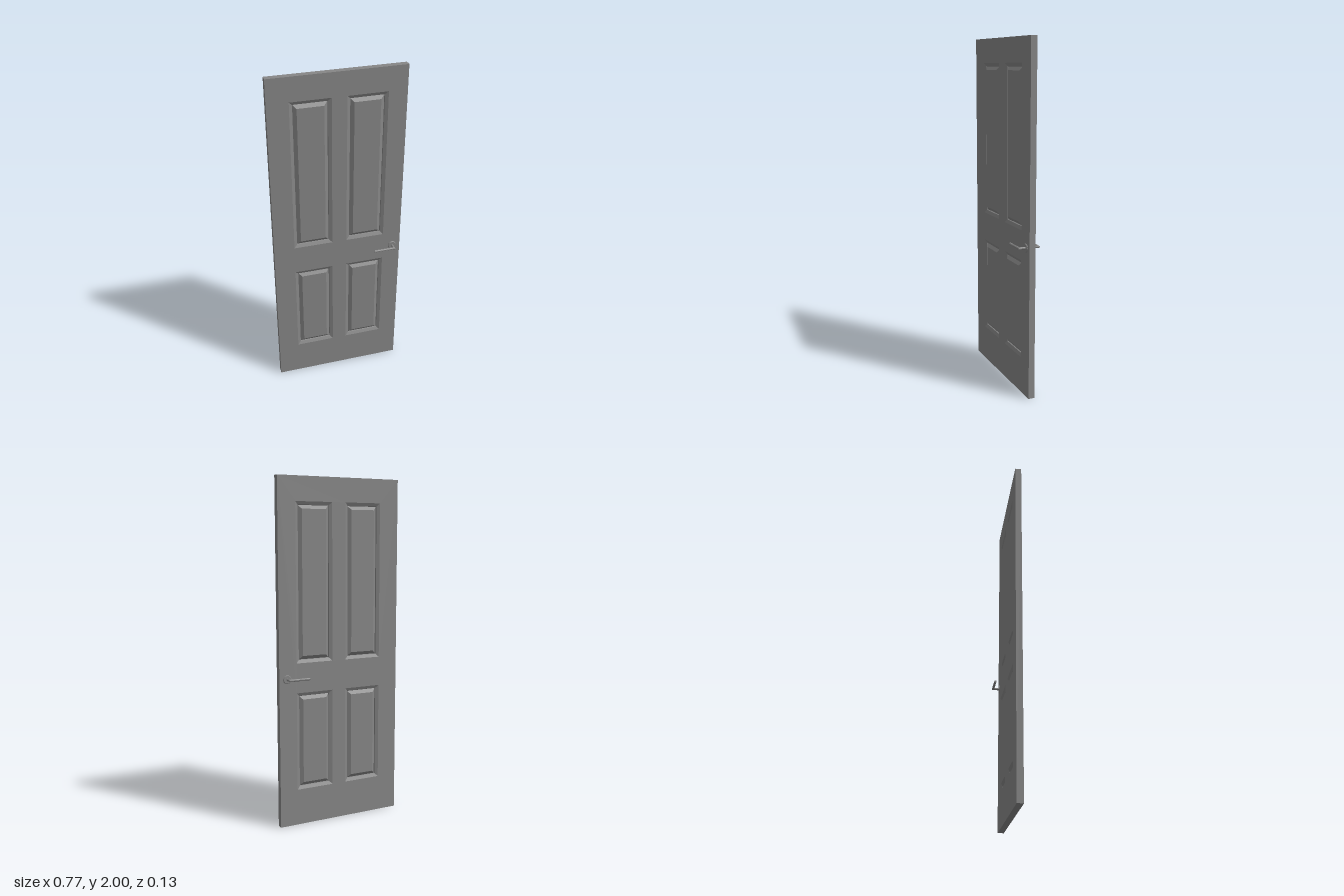
import * as THREE from 'three';

const material = new THREE.MeshStandardMaterial({ color: 0x868686, flatShading: true });
const WIDTH = 0.768, HEIGHT = 2, HALF = 0.018; // HALF = half the door thickness

// Panel openings: left, right, bottom, top
const columns = [[-0.264, -0.036], [0.049, 0.277]];
const rows = [[0.212, 0.785], [0.958, 1.862]];
const openings = columns.flatMap(([l, r]) => rows.map(([b, t]) => [l, r, b, t]));

function add(parent, name, geometry) {
  const mesh = new THREE.Mesh(geometry, material);
  mesh.name = name;
  parent.add(mesh);
  return mesh;
}

function rectangle(target, l, r, b, t) {
  target.moveTo(l, b).lineTo(r, b).lineTo(r, t).lineTo(l, t).closePath();
  return target;
}

// Moulded panel: rectangular rings stepping inwards, [inset, z], closed by a flat field
function panelGeometry(w, h) {
  const profile = [[0, HALF], [0.018, HALF - 0.009], [0.02, HALF - 0.015], [0.04, HALF - 0.001]];
  const positions = [], index = [];
  for (const [inset, z] of profile) {
    const x = w / 2 - inset, y = h / 2 - inset;
    positions.push(-x, -y, z, x, -y, z, x, y, z, -x, y, z);
  }
  for (let ring = 0; ring < profile.length - 1; ring++) {
    for (let i = 0; i < 4; i++) {
      const a = ring * 4 + i, b = ring * 4 + (i + 1) % 4;
      index.push(a, b, b + 4, a, b + 4, a + 4);
    }
  }
  const f = (profile.length - 1) * 4;
  index.push(f, f + 1, f + 2, f, f + 2, f + 3);
  const geometry = new THREE.BufferGeometry();
  geometry.setAttribute('position', new THREE.Float32BufferAttribute(positions, 3));
  geometry.setIndex(index);
  const flat = geometry.toNonIndexed();
  flat.computeVertexNormals();
  return flat;
}

// Octagonal bar leaving the door, mitred at the corner, then running towards the hinges
function leverGeometry() {
  const r = 0.0065 / Math.cos(Math.PI / 8), cornerZ = 0.0578, neckX = 0.336, tipX = 0.2115;
  const geometry = new THREE.CylinderGeometry(r, r, 2, 8, 2, false, Math.PI / 8);
  geometry.rotateX(Math.PI / 2);
  const p = geometry.attributes.position;
  for (let i = 0; i < p.count; i++) {
    const u = p.getX(i), row = Math.round(p.getZ(i));
    if (row < 0) p.setXYZ(i, neckX + u, p.getY(i), HALF);
    else if (row === 0) p.setXYZ(i, neckX + u, p.getY(i), cornerZ + u);
    else p.setXYZ(i, tipX, p.getY(i), cornerZ + u);
  }
  geometry.computeVertexNormals();
  return geometry;
}

export function createModel() {
  const door = new THREE.Group();
  door.name = 'door';

  // Slab with four openings
  const outline = rectangle(new THREE.Shape(), -WIDTH / 2, WIDTH / 2, 0, HEIGHT);
  for (const o of openings) outline.holes.push(rectangle(new THREE.Path(), ...o));
  const slab = new THREE.ExtrudeGeometry(outline, { depth: HALF * 2, bevelEnabled: false });
  add(door, 'slab', slab.translate(0, 0, -HALF));

  // Raised panels on both faces
  for (const [l, r, b, t] of openings) {
    const geometry = panelGeometry(r - l, t - b);
    for (const turn of [0, Math.PI]) {
      const panel = add(door, turn ? 'backPanel' : 'frontPanel', geometry);
      panel.position.set((l + r) / 2, (b + t) / 2, 0);
      panel.rotation.y = turn;
    }
  }

  // Lever handles with round roses on both faces
  const lever = leverGeometry();
  const rose = new THREE.CylinderGeometry(0.022, 0.025, 0.003, 24).translate(0, 0.0035, 0);
  const roseBase = new THREE.CylinderGeometry(0.025, 0.025, 0.002, 24).translate(0, 0.001, 0);
  for (const turn of [0, Math.PI]) {
    const handle = new THREE.Group();
    handle.name = turn ? 'backHandle' : 'frontHandle';
    handle.position.y = 0.87;
    handle.rotation.x = turn;
    add(handle, 'lever', lever);
    for (const [name, geometry] of [['roseBase', roseBase], ['roseBevel', rose]]) {
      const disc = add(handle, name, geometry);
      disc.position.set(0.336, 0, HALF);
      disc.rotation.x = Math.PI / 2;
    }
    door.add(handle);
  }
  return door;
}
